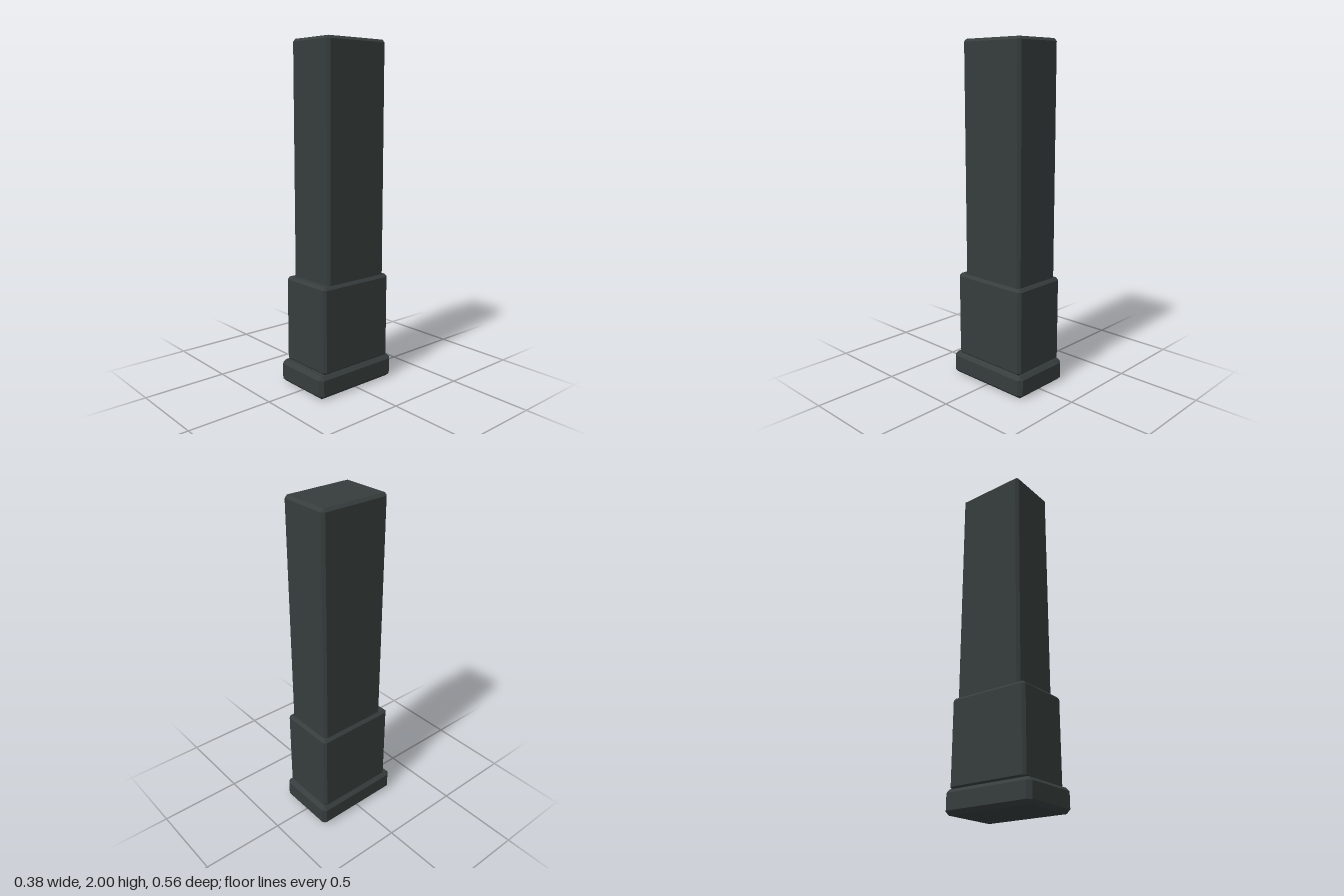
import * as THREE from 'three';
import { ConvexGeometry } from 'three/addons/geometries/ConvexGeometry.js';

// Box between two corners with every edge chamfered by c
function chamferBox([x0, y0, z0], [x1, y1, z1], c) {
  const pts = [];
  for (const [x, dx] of [[x0, c], [x1, -c]])
    for (const [y, dy] of [[y0, c], [y1, -c]])
      for (const [z, dz] of [[z0, c], [z1, -c]])
        pts.push(
          new THREE.Vector3(x, y + dy, z + dz),
          new THREE.Vector3(x + dx, y, z + dz),
          new THREE.Vector3(x + dx, y + dy, z)
        );
  return new ConvexGeometry(pts);
}

export function createModel() {
  const group = new THREE.Group();
  group.name = 'steppedColumn';
  const material = new THREE.MeshStandardMaterial({ color: 0x363d3c });
  material.name = 'dark slate';

  // Three stacked blocks: name, lower corner, upper corner, chamfer
  const blocks = [
    ['basePlate', [-0.19, 0, -0.28], [0.19, 0.136, 0.278], 0.022],
    ['lowerSleeve', [-0.177, 0.13, -0.258], [0.175, 0.643, 0.24], 0.016],
    ['upperShaft', [-0.159, 0.6, -0.236], [0.157, 2, 0.195], 0.016],
  ];
  for (const [name, lo, hi, c] of blocks) {
    const mesh = new THREE.Mesh(chamferBox(lo, hi, c), material);
    mesh.name = name;
    group.add(mesh);
  }
  return group;
}
